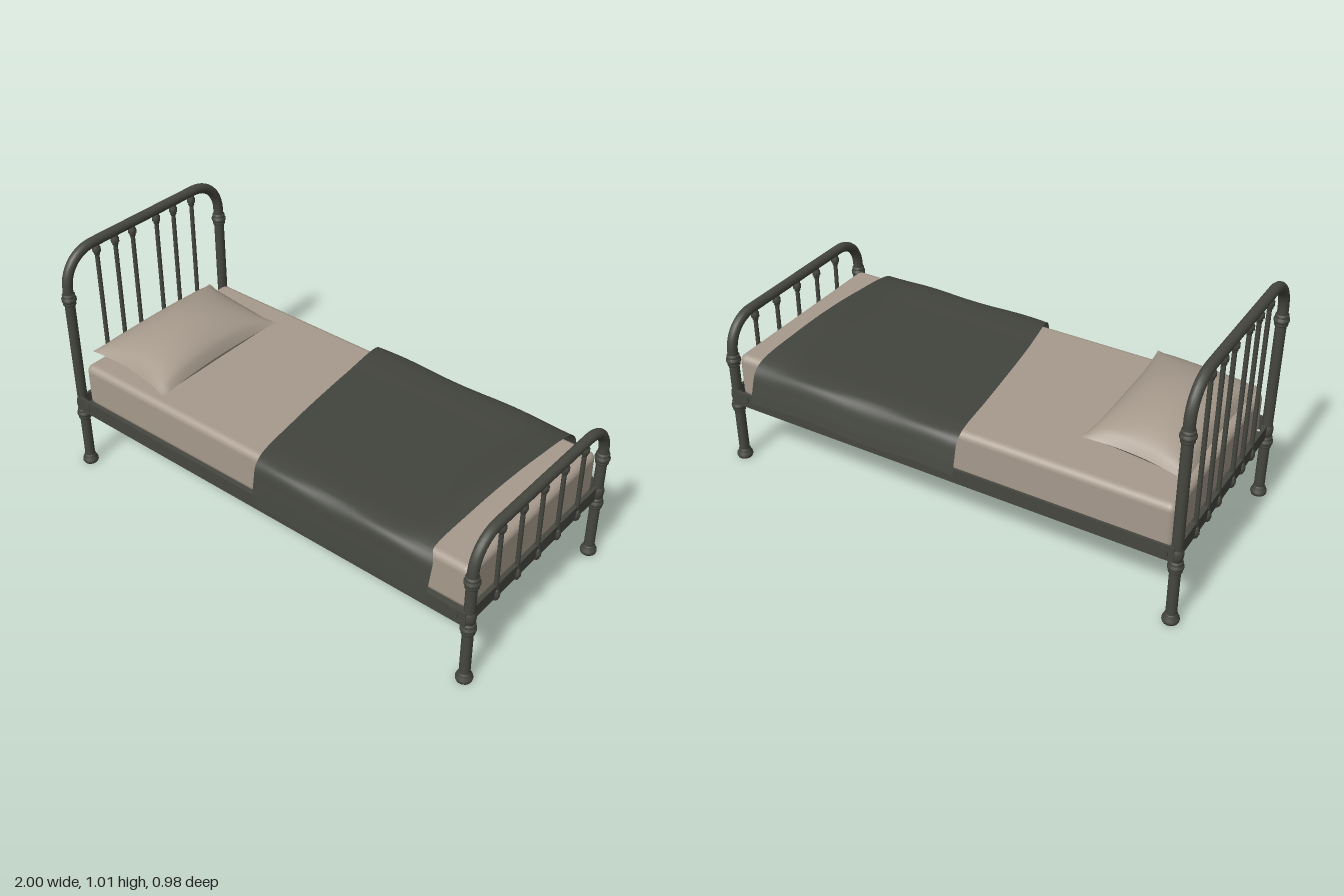
import * as THREE from 'three';
import { RoundedBoxGeometry } from 'three/addons/geometries/RoundedBoxGeometry.js';

const metal = new THREE.MeshStandardMaterial({ name: 'dark metal', color: 0x45473f });
const wool = new THREE.MeshStandardMaterial({ name: 'blanket wool', color: 0x42443d, side: THREE.DoubleSide });
const linen = new THREE.MeshStandardMaterial({ name: 'linen', color: 0xa69a8c, side: THREE.DoubleSide });

const MID_Z = 0.01; // centre line of the frame
const HALF_Z = 0.425; // post distance from the centre line

function add(parent, name, geometry, material, x = 0, y = 0, z = 0) {
  const mesh = new THREE.Mesh(geometry, material);
  mesh.name = name;
  mesh.position.set(x, y, z);
  parent.add(mesh);
  return mesh;
}

function lathe(profile, sides = 16) {
  return new THREE.LatheGeometry(profile.map(([r, y]) => new THREE.Vector2(r, y)), sides);
}

// Grid surface from a function (u, v) -> [x, y, z]; flip reverses its facing
function sheet(nu, nv, fn, flip) {
  const pos = [], idx = [];
  for (let i = 0; i <= nu; i++)
    for (let j = 0; j <= nv; j++) pos.push(...fn(i / nu, j / nv));
  for (let i = 0; i < nu; i++)
    for (let j = 0; j < nv; j++) {
      const a = i * (nv + 1) + j, b = a + 1, c = a + nv + 1, d = c + 1;
      idx.push(...(flip ? [a, c, b, b, c, d] : [a, b, c, b, d, c]));
    }
  const g = new THREE.BufferGeometry();
  g.setAttribute('position', new THREE.Float32BufferAttribute(pos, 3));
  g.setIndex(idx);
  g.computeVertexNormals();
  return g;
}

// Bent tube: up one post, over and down the other
function archGeometry(top, bend) {
  const v = (z, y) => new THREE.Vector3(0, y, z), h = HALF_Z, k = bend * 0.42;
  const path = new THREE.CurvePath();
  path.add(new THREE.LineCurve3(v(h, 0.02), v(h, top - bend)));
  path.add(new THREE.CubicBezierCurve3(v(h, top - bend), v(h, top - k), v(h - k, top), v(h - bend, top)));
  path.add(new THREE.LineCurve3(v(h - bend, top), v(bend - h, top)));
  path.add(new THREE.CubicBezierCurve3(v(bend - h, top), v(k - h, top), v(-h, top - k), v(-h, top - bend)));
  path.add(new THREE.LineCurve3(v(-h, top - bend), v(-h, 0.02)));
  return new THREE.TubeGeometry(path, 110, 0.021, 14);
}

const collar = lathe([[0.02, -0.026], [0.026, -0.022], [0.026, -0.013], [0.023, -0.011], [0.03, -0.005],
  [0.03, 0.005], [0.023, 0.011], [0.026, 0.013], [0.026, 0.022], [0.02, 0.026]]);
const foot = lathe([[0, 0], [0.03, 0], [0.033, 0.008], [0.032, 0.018], [0.025, 0.025], [0.025, 0.034], [0.02, 0.04]]);
const knob = lathe([[0, -0.03], [0.009, -0.024], [0.013, -0.018], [0.011, -0.013], [0.017, -0.007],
  [0.017, 0.01], [0.012, 0.015], [0.014, 0.02], [0.009, 0.026]], 12);

// One end of the bed: arch, feet, collars, spindles, cross rail
function bedEnd(name, x, top, bend, collarHeight, spindles) {
  const g = new THREE.Group();
  g.name = name;
  g.position.set(x, 0, MID_Z);
  add(g, 'archTube', archGeometry(top, bend), metal);
  for (const s of [-1, 1]) {
    const z = s * HALF_Z;
    add(g, 'foot', foot, metal, 0, 0, z);
    for (const y of [collarHeight, 0.255]) add(g, 'collar', collar, metal, 0, y, z);
    add(g, 'railJoint', new THREE.SphereGeometry(0.026, 14, 10), metal, 0, 0.308, z).scale.set(1, 1.6, 1);
  }
  add(g, 'crossRail', new THREE.BoxGeometry(0.012, 0.058, HALF_Z * 2), metal, 0, 0.31, 0);
  const length = top - 0.29;
  const rod = new THREE.CylinderGeometry(0.009, 0.009, length, 10);
  for (const z of spindles) {
    add(g, 'spindle', rod, metal, 0, 0.29 + length / 2, z - MID_Z);
    add(g, 'upperKnob', knob, metal, 0, top - 0.04, z - MID_Z);
    add(g, 'lowerKnob', knob, metal, 0, 0.292, z - MID_Z);
  }
  return g;
}

function makePillow() {
  const g = new THREE.Group();
  g.name = 'pillow';
  const lerp = THREE.MathUtils.lerp;
  const surface = (top) => (u, v) => {
    const a = 4 * u * (1 - u), b = 4 * v * (1 - v);
    const du = (0.5 - u) * 2, dv = (0.5 - v) * 2;
    // skewed outline with sides drawn in between the corners
    const x = lerp(lerp(-0.94, -0.51, u), lerp(-0.945, -0.5, u), v) + du * b * 0.02;
    const z = lerp(lerp(-0.31, -0.26, u), lerp(0.37, 0.41, u), v) + dv * a * 0.025;
    const fill = Math.pow(a * b, 0.55);
    return [x, 0.535 + (top ? 0.1 * fill : -0.043 * Math.min(1, fill * 1.6)), z];
  };
  add(g, 'pillowTop', sheet(24, 28, surface(true), false), linen);
  add(g, 'pillowUnderside', sheet(24, 28, surface(false), true), linen);
  return g;
}

function makeBlanket() {
  const g = new THREE.Group();
  g.name = 'blanket';
  // drape from the back hem over the mattress to the front hem, as (z, y)
  const drape = new THREE.CatmullRomCurve3([[-0.492, 0.358], [-0.475, 0.42], [-0.452, 0.48], [-0.415, 0.503],
    [-0.2, 0.507], [0, 0.508], [0.2, 0.507], [0.415, 0.503], [0.45, 0.48], [0.468, 0.42], [0.487, 0.33]]
    .map(([z, y]) => new THREE.Vector3(0, y, z)), false, 'centripetal');
  const surface = (outer) => (u, v) => {
    const p = drape.getPoint(v), t = drape.getTangent(v);
    const hang = THREE.MathUtils.smoothstep(Math.abs(p.z), 0.41, 0.46);
    // slanted head edge, nearly straight foot edge
    const s = THREE.MathUtils.clamp((p.z + 0.49) / 0.98, 0, 1);
    const x0 = -0.11 + 0.1 * s + 0.03 * s ** 4, x1 = 0.825 - 0.04 * s + (p.z > 0 ? 0.03 * hang : 0);
    const rim = Math.min(1, 12 * Math.min(u, 1 - u), 30 * Math.min(v, 1 - v));
    const thick = outer ? 0 : (0.008 + 0.014 * hang) * Math.sqrt(Math.max(0, rim));
    // raised fold by the foot edge and slight sag along the hems
    const fold = 0.029 * Math.max(0, 1 - (p.z / 0.42) ** 2) * THREE.MathUtils.smoothstep(u, 0.78, 0.96);
    const wave = hang * 0.006 * Math.sin(u * 11);
    return [x0 + (x1 - x0) * u, p.y + fold - t.z * thick + wave, p.z + t.y * thick];
  };
  add(g, 'blanketOuter', sheet(40, 70, surface(true), true), wool).geometry.computeVertexNormals();
  add(g, 'blanketLining', sheet(40, 70, surface(false), false), wool);
  return g;
}

export function createModel() {
  const bed = new THREE.Group();
  bed.name = 'bed';

  bed.add(bedEnd('headboard', -0.967, 0.994, 0.145, 0.805, [0.27, 0.172, 0.078, -0.055, -0.152, -0.258]));
  bed.add(bedEnd('footboard', 0.964, 0.638, 0.135, 0.47, [0.275, 0.142, 0.01, -0.125, -0.262]));

  // side rails with bolt heads near each post
  for (const s of [-1, 1]) {
    const z = MID_Z + s * 0.446;
    add(bed, 'sideRail', new THREE.BoxGeometry(1.93, 0.062, 0.01), metal, 0, 0.312, z).rotation.z = -0.005;
    for (const x of [-0.92, 0.91]) {
      const bolt = add(bed, 'railBolt', new THREE.CylinderGeometry(0.025, 0.025, 0.008, 16), metal, x, 0.314, z + s * 0.006);
      bolt.rotation.x = Math.PI / 2;
    }
  }

  add(bed, 'basePanel', new THREE.BoxGeometry(1.92, 0.012, 0.83), metal, 0, 0.292, 0.005);
  add(bed, 'mattress', new RoundedBoxGeometry(1.89, 0.192, 0.83, 4, 0.03), linen, 0, 0.397, 0.005);
  bed.add(makePillow(), makeBlanket());
  return bed;
}
